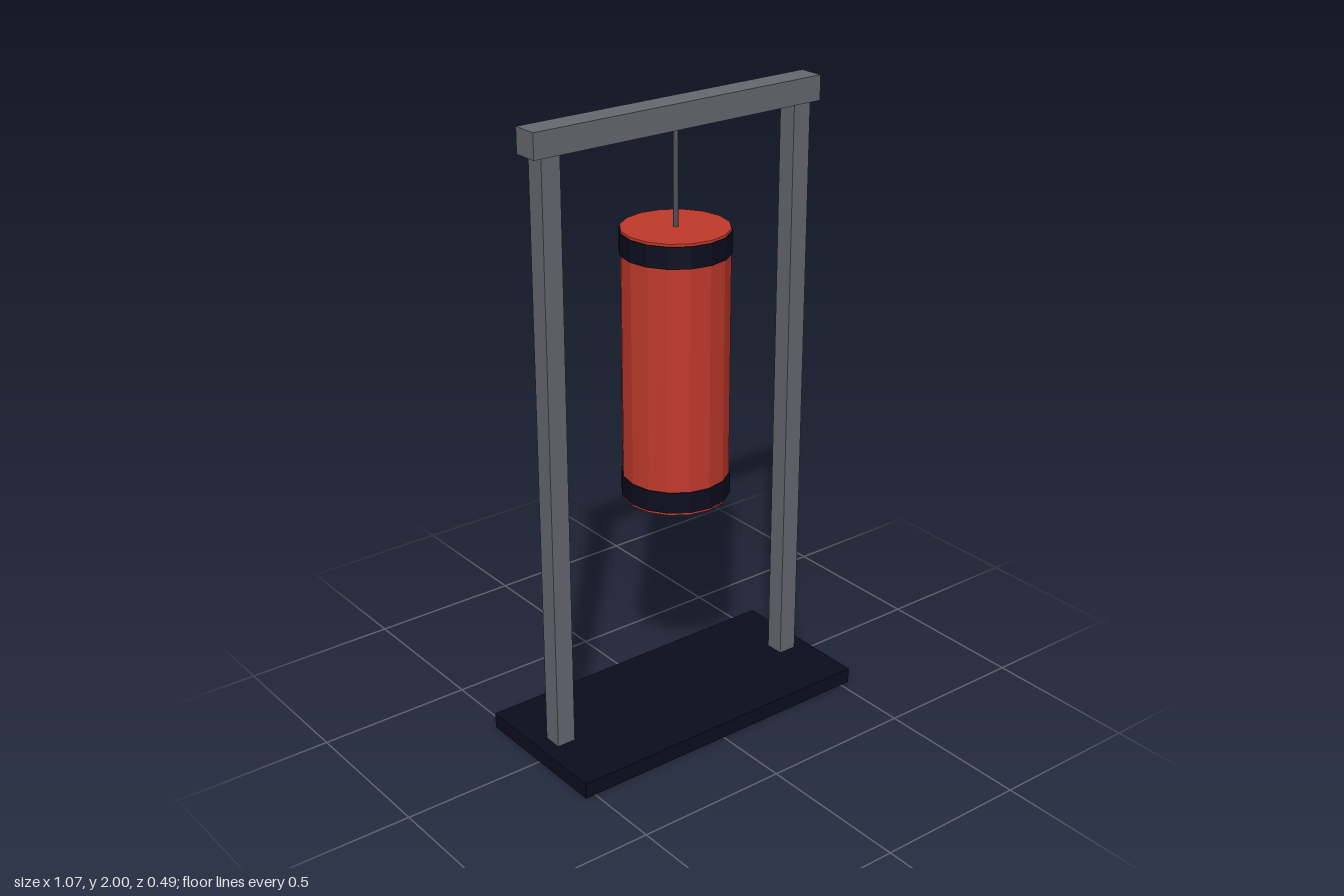
import * as THREE from 'three';

const paint = (name, color, flatShading = false) => {
  const m = new THREE.MeshStandardMaterial({ color, flatShading });
  m.name = name;
  return m;
};

export function createModel() {
  const red = paint('red', 0xc0392b, true);
  const navy = paint('navy', 0x0c0c1e, true);
  const grey = paint('grey', 0x666870, true);
  const model = new THREE.Group();
  model.name = 'hangingBagStand';

  const add = (name, geometry, material, x, y, z = 0) => {
    const mesh = new THREE.Mesh(geometry, material);
    mesh.name = name;
    mesh.position.set(x, y, z);
    model.add(mesh);
  };
  // box and upright cylinder given by their bottom and top heights
  const box = (name, material, x, y0, y1, w, d) =>
    add(name, new THREE.BoxGeometry(w, y1 - y0, d), material, x, (y0 + y1) / 2);
  const drum = (name, material, r, y0, y1, sides) =>
    add(name, new THREE.CylinderGeometry(r, r, y1 - y0, sides), material, 0, (y0 + y1) / 2);

  // Stand
  box('base', navy, 0, 0, 0.051, 1.066, 0.492);
  for (const [name, side] of [['leftPost', 1], ['rightPost', -1]]) {
    box(name, grey, side * 0.452, 0.02, 1.93, 0.062, 0.062);
  }
  box('topBeam', grey, 0, 1.923, 2, 1.026, 0.082);

  // Hanging bag with its two bands
  drum('hangingRod', grey, 0.008, 1.61, 1.915, 8);
  drum('bag', red, 0.164, 0.768, 1.625, 16);
  drum('lowerBand', navy, 0.168, 0.776, 0.843, 16);
  drum('upperBand', navy, 0.168, 1.55, 1.617, 16);

  return model;
}
